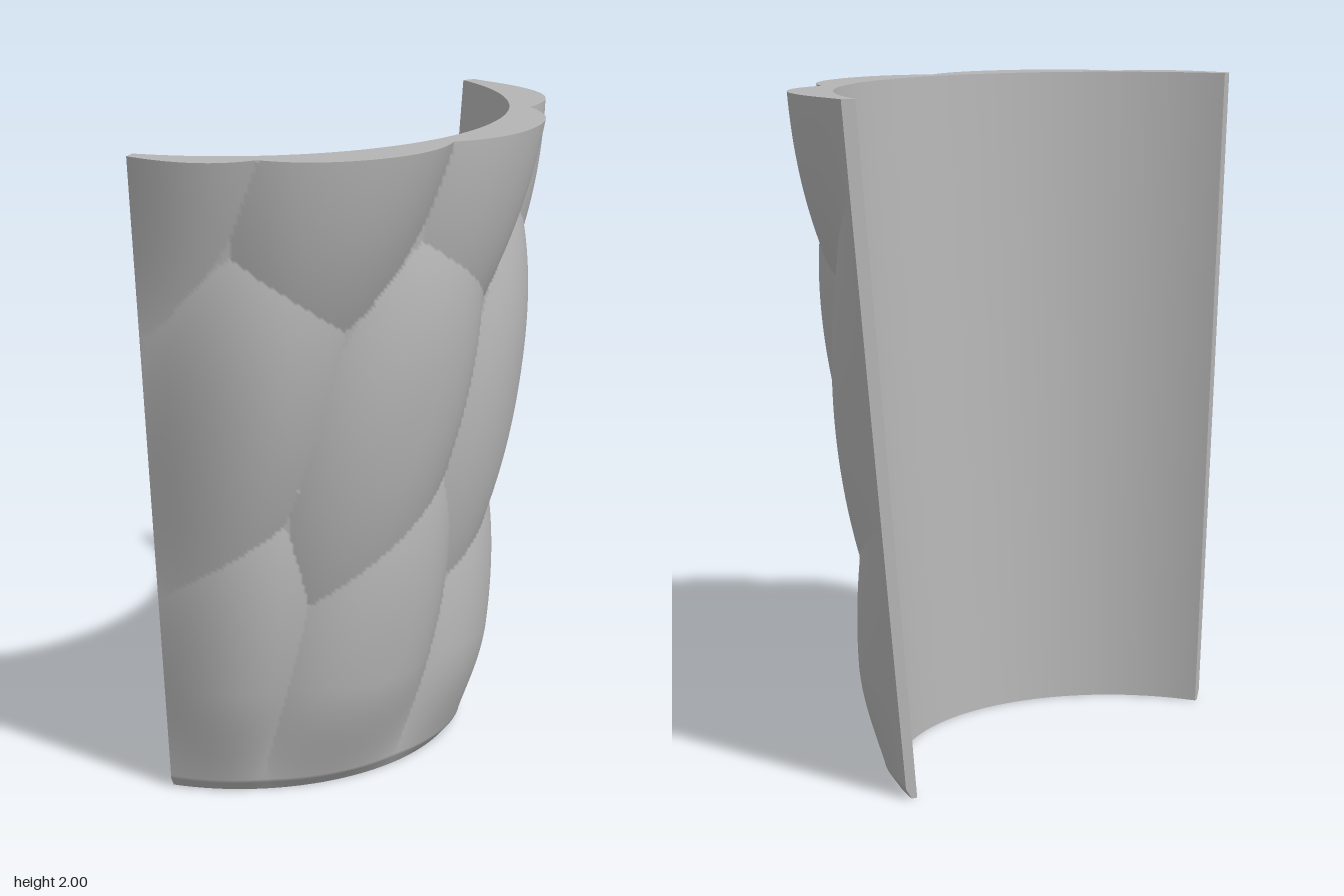
import * as THREE from 'three';
import { ParametricGeometry } from 'three/addons/geometries/ParametricGeometry.js';

const HEIGHT = 2, AXIS_Z = -0.592, HALF_ARC = 70; // degrees either side of the front
const SHEAR = 22;                                  // degrees of twist per unit of height
const CELL_W = 20, CELL_H = 0.54;                  // half sizes of one scale

// Scale centres: three staggered rows, nine to a full turn
const rows = [
  { shift: 12, y: 0.32, nudge: { '-1': 0.08, 0: -0.07 } },
  { shift: 0, y: 1.17, nudge: {} },
  { shift: 10, y: 2.02, nudge: {} },
];
const seeds = [];
for (const row of rows)
  for (let k = -4; k <= 3; k++) seeds.push([row.shift + 40 * k, row.y + (row.nudge[k] || 0)]);

// Height of the swelling: highest at each centre, creased where two scales meet
function bump(deg, y) {
  const a = deg - SHEAR * y;
  let d2 = Infinity;
  for (const [sa, sy] of seeds)
    d2 = Math.min(d2, ((a - sa) / CELL_W) ** 2 + ((y - sy) / CELL_H) ** 2);
  const shape = Math.max(0, 1 - 0.8 * Math.pow(d2, 1.15));
  const edge = Math.min(1, (HALF_ARC - Math.abs(deg)) / 30);
  const foot = Math.min(1, y / 0.35);
  return (0.065 + 0.018 * y) * shape * Math.sin(edge * Math.PI / 2) * Math.sin(foot * Math.PI / 2);
}

const innerRadius = (deg, y) => 0.66 + 0.085 * y;
const outerRadius = (deg, y) =>
  0.692 + 0.09 * y - 0.015 * Math.max(0, 1 - y / 0.03) + bump(deg, y);

// Point at an angle and height; t runs from the inner wall (0) to the outer wall (1)
function place(deg, y, t, target) {
  const r = THREE.MathUtils.lerp(innerRadius(deg, y), outerRadius(deg, y), t);
  const a = THREE.MathUtils.degToRad(deg);
  target.set(r * Math.sin(a), y, AXIS_Z + r * Math.cos(a));
}

export function createModel() {
  const group = new THREE.Group();
  group.name = 'scaledShell';
  const grey = new THREE.MeshStandardMaterial({ color: 0xb4b4b4 });
  grey.name = 'plain grey';

  const arc = (u) => (2 * u - 1) * HALF_ARC;
  const add = (name, fn, nu, nv) => {
    const mesh = new THREE.Mesh(new ParametricGeometry(fn, nu, nv), grey);
    mesh.name = name;
    group.add(mesh);
  };

  // Walls
  add('scaledOuterWall', (u, v, p) => place(arc(u), v * HEIGHT, 1, p), 210, 200);
  add('smoothInnerWall', (u, v, p) => place(arc(1 - u), v * HEIGHT, 0, p), 70, 1);

  // Rims
  add('topRim', (u, v, p) => place(arc(u), HEIGHT, 1 - v, p), 210, 1);
  add('bottomRim', (u, v, p) => place(arc(u), 0, v, p), 210, 1);

  // Straight side edges
  add('leftEdge', (u, v, p) => place(HALF_ARC, v * HEIGHT, 1 - u, p), 1, 200);
  add('rightEdge', (u, v, p) => place(-HALF_ARC, v * HEIGHT, u, p), 1, 200);

  return group;
}
